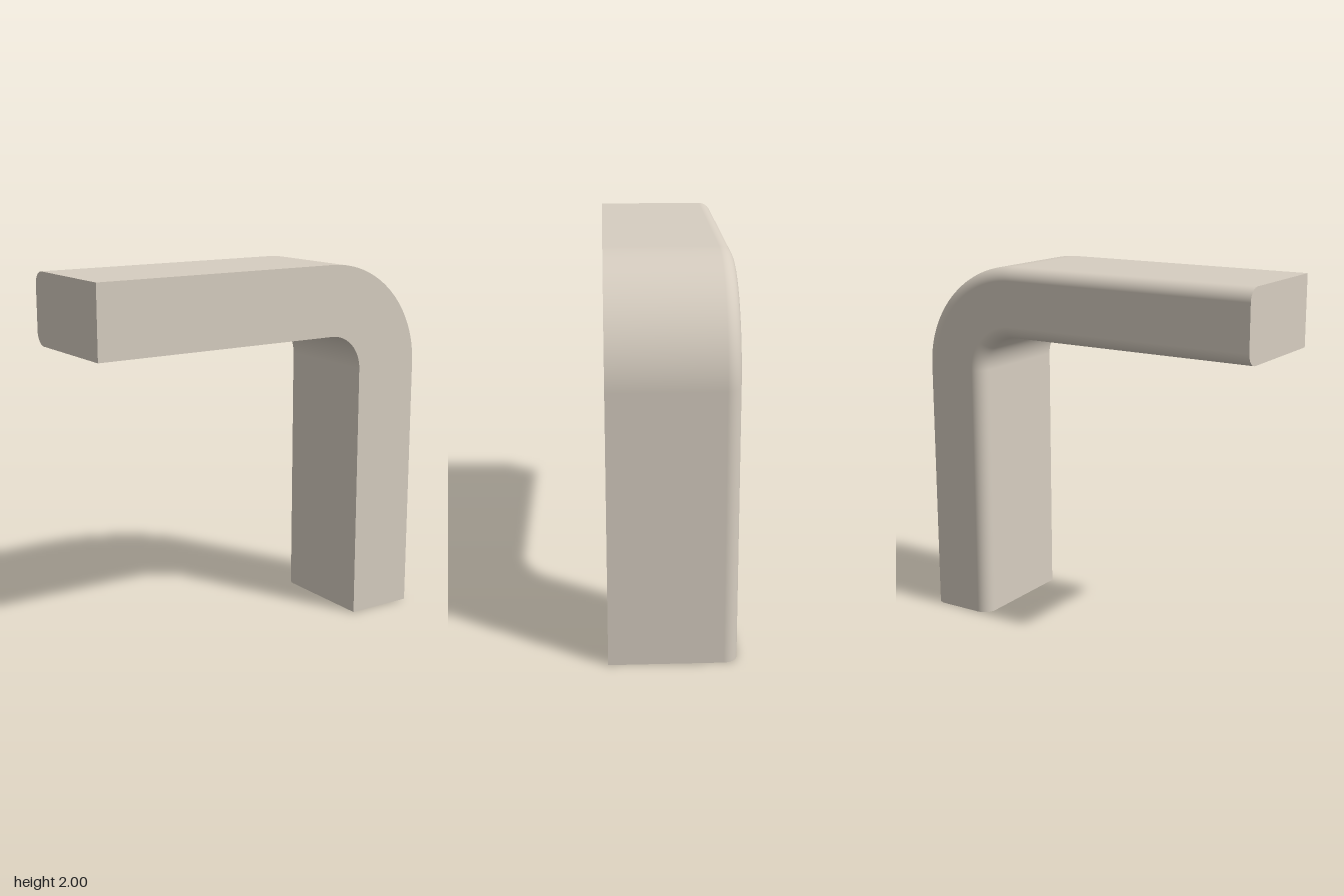
import * as THREE from 'three';

const INNER = 0.195, OUTER = 0.58;    // bend radii of the two long sides
const HALF = 0.325, FILLET = 0.07;    // half depth and rounding of the back edges
const CX = 0.42, CY = 1.42;           // bend centre

// Cross-section as [r, z, normal r, normal z]: sharp front edges, rounded back edges
function makeSection() {
  const pts = [[INNER, HALF, 0, 1], [OUTER, HALF, 0, 1], [OUTER, HALF, 1, 0]];
  const steps = 10;
  [[OUTER - FILLET, 0], [INNER + FILLET, -Math.PI / 2]].forEach(([r, start]) => {
    for (let k = 0; k <= steps; k++) {
      const a = start - (k / steps) * Math.PI / 2;
      const c = Math.cos(a), s = Math.sin(a);
      pts.push([r + FILLET * c, -HALF + FILLET + FILLET * s, c, s]);
    }
  });
  pts.push([INNER, HALF, -1, 0]);
  return pts;
}

// Stations as [origin x, origin y, outward angle]: arm end, bend, foot
function makePath() {
  const path = [[-1, CY, Math.PI / 2]];
  const steps = 48;
  for (let i = 0; i <= steps; i++) path.push([CX, CY, (1 - i / steps) * Math.PI / 2]);
  path.push([CX, 0, 0]);
  return path;
}

function bentBarGeometry() {
  const section = makeSection(), path = makePath(), n = section.length;
  const pos = [], nor = [], index = [];
  const addRing = ([ox, oy, a], capNormal) => {
    const dx = Math.cos(a), dy = Math.sin(a);
    section.forEach(([r, z, nr, nz]) => {
      pos.push(ox + r * dx, oy + r * dy, z);
      nor.push(...(capNormal || [nr * dx, nr * dy, nz]));
    });
  };

  // Swept sides
  path.forEach((station) => addRing(station));
  for (let i = 0; i < path.length - 1; i++) {
    for (let j = 0; j < n - 1; j++) {
      const a = i * n + j, b = a + n;
      index.push(a, b, a + 1, b, b + 1, a + 1);
    }
  }

  // Flat end caps
  const first = path.length * n, last = first + n;
  addRing(path[0], [-1, 0, 0]);
  addRing(path[path.length - 1], [0, -1, 0]);
  for (let k = 1; k < n - 1; k++) {
    index.push(first, first + k, first + k + 1);
    index.push(last, last + k + 1, last + k);
  }

  const geometry = new THREE.BufferGeometry();
  geometry.setAttribute('position', new THREE.Float32BufferAttribute(pos, 3));
  geometry.setAttribute('normal', new THREE.Float32BufferAttribute(nor, 3));
  geometry.setIndex(index);
  return geometry;
}

export function createModel() {
  const group = new THREE.Group();
  group.name = 'cornerPiece';
  const bar = new THREE.Mesh(bentBarGeometry(), new THREE.MeshStandardMaterial({ color: 0xd6cdc0 }));
  bar.name = 'bentBar';
  group.add(bar);
  return group;
}
